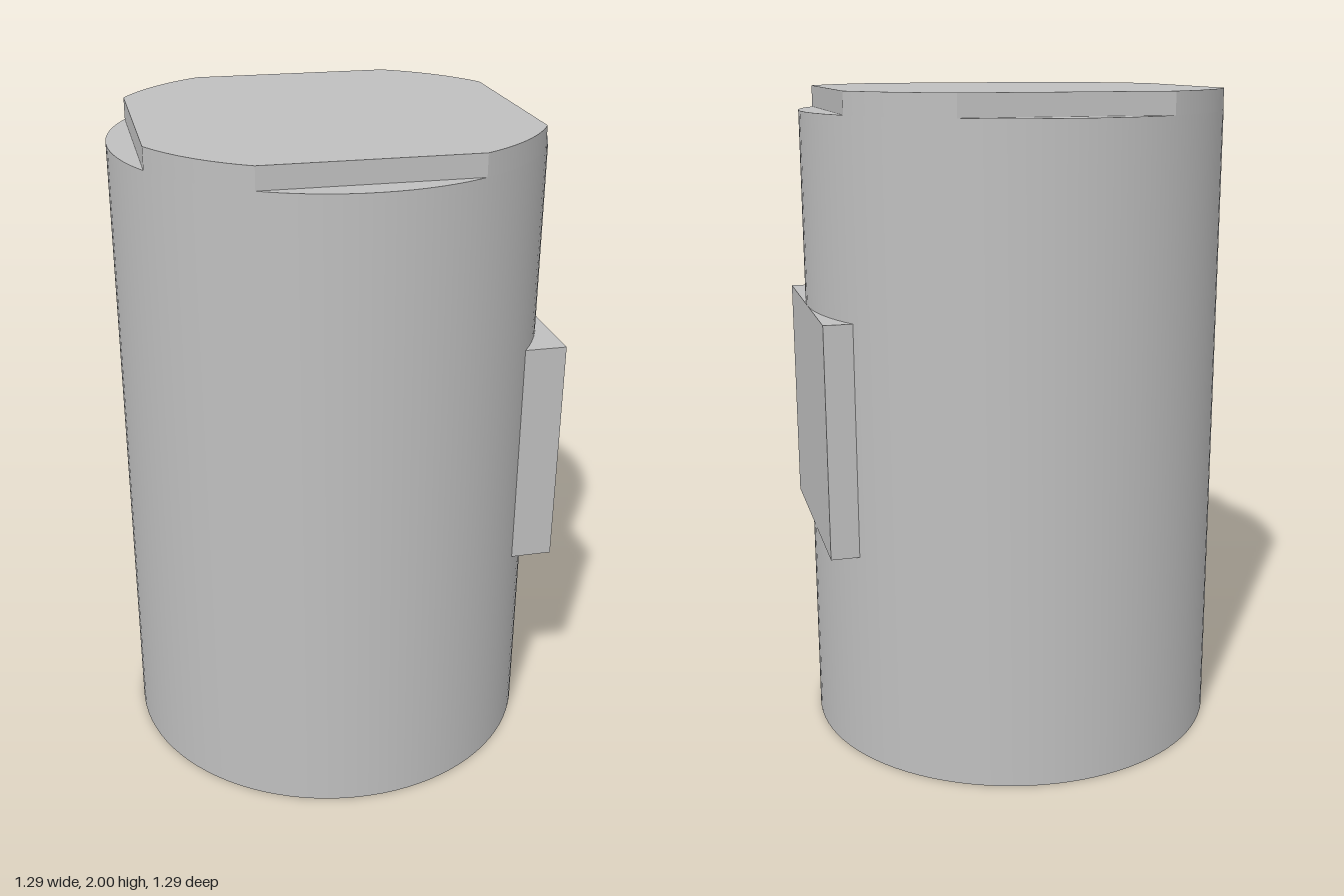
import * as THREE from 'three';
import { toCreasedNormals } from 'three/addons/utils/BufferGeometryUtils.js';

const RADIUS = 0.643, BORE = 0.416, HEIGHT = 2;
const LEDGE = 1.935;   // height of the four ledges beside the flats
const FLAT = 0.565;    // distance of each flat from the axis
const BORE_TOP = 1.77; // end of the blind bore
const SEGMENTS = 96;

export function createModel() {
  const model = new THREE.Group();
  const grey = new THREE.MeshStandardMaterial({ color: 0xbfbfbf });
  grey.name = 'plain grey';

  const add = (name, geometry) => {
    const mesh = new THREE.Mesh(geometry, grey);
    mesh.name = name;
    model.add(mesh);
    return mesh;
  };

  // Cylinder with a blind bore open at the bottom
  const profile = [
    [0, BORE_TOP], [BORE, BORE_TOP], [BORE, 0],
    [RADIUS, 0], [RADIUS, LEDGE], [0, LEDGE],
  ].map(([x, y]) => new THREE.Vector2(x, y));
  add('body', toCreasedNormals(new THREE.LatheGeometry(profile, SEGMENTS), 0.6));

  // Crown: a disc trimmed by four flats, joined by four arcs
  const half = Math.acos(FLAT / RADIUS);
  const outline = new THREE.Shape();
  for (let i = 0; i < 4; i++) {
    const turn = i * Math.PI / 2;
    outline.absarc(0, 0, RADIUS, turn + half, turn + Math.PI / 2 - half, false);
  }
  outline.closePath();
  const crown = new THREE.ExtrudeGeometry(outline, {
    depth: HEIGHT - LEDGE, bevelEnabled: false, curveSegments: 16,
  });
  crown.rotateX(-Math.PI / 2).translate(0, LEDGE, 0);
  add('crown', toCreasedNormals(crown, 0.3));

  // Square pad on the left side, its outer face tangent to the body
  const pad = add('sidePad', new THREE.BoxGeometry(RADIUS - 0.5, 0.705, 0.705));
  pad.position.set((RADIUS + 0.5) / 2, 1.003, 0.032);

  return model;
}
